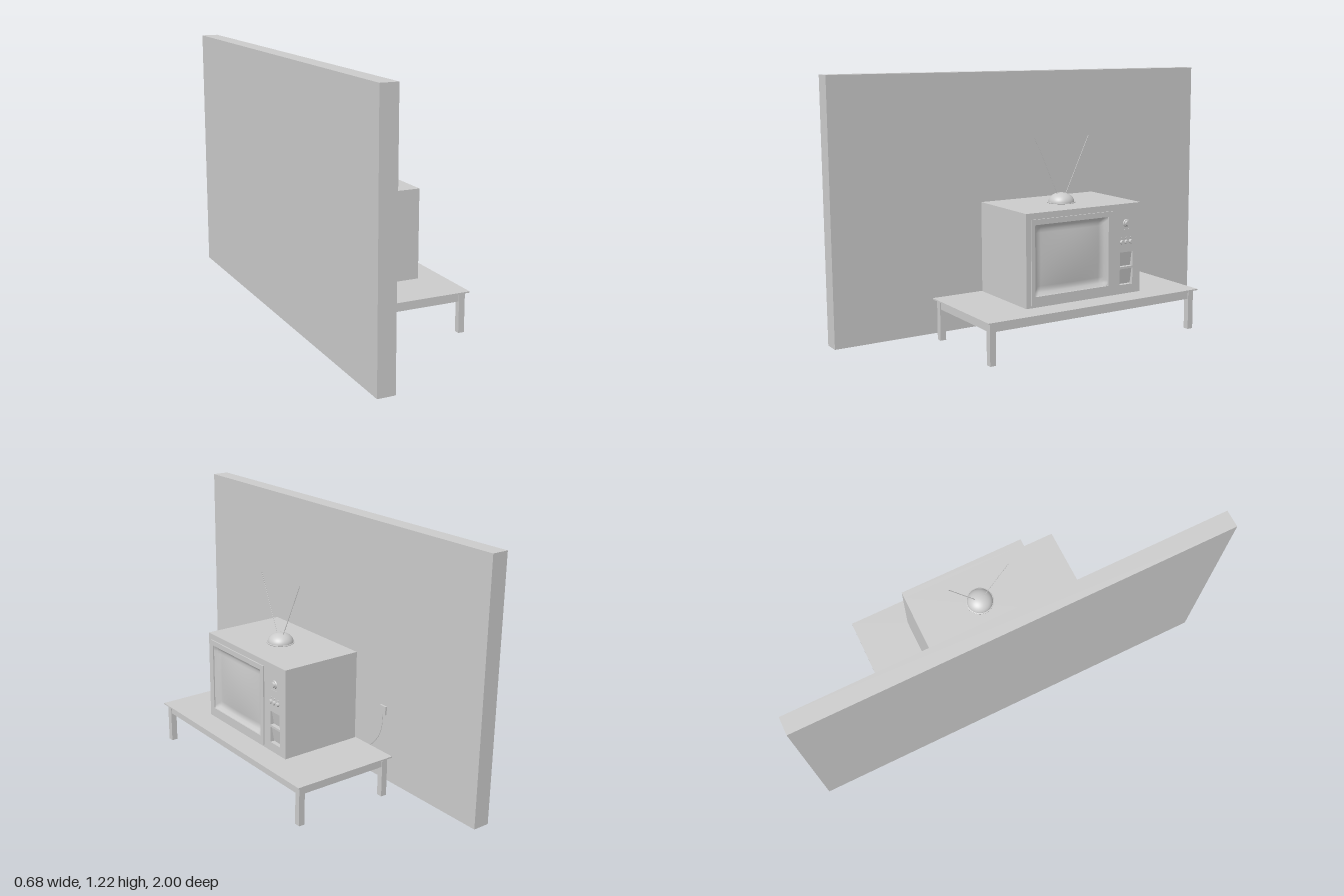
import * as THREE from 'three';

const grey = new THREE.MeshStandardMaterial({ color: 0xcccccc, side: THREE.DoubleSide });

export function createModel() {
  const root = new THREE.Group();

  function add(name, geometry, parent = root) {
    const mesh = new THREE.Mesh(geometry, grey);
    mesh.name = name;
    parent.add(mesh);
    return mesh;
  }
  function group(name) {
    const g = new THREE.Group();
    g.name = name;
    root.add(g);
    return g;
  }
  // Box given by its limits on each axis
  function box(name, x0, x1, y0, y1, z0, z1, parent) {
    const m = add(name, new THREE.BoxGeometry(x1 - x0, y1 - y0, z1 - z0), parent);
    m.position.set((x0 + x1) / 2, (y0 + y1) / 2, (z0 + z1) / 2);
    return m;
  }
  // Rectangle path in the panel plane, where u = -z and v = y
  function rect(path, z0, z1, y0, y1) {
    path.moveTo(-z1, y0);
    path.lineTo(-z0, y0);
    path.lineTo(-z0, y1);
    path.lineTo(-z1, y1);
    path.closePath();
    return path;
  }
  // Panel facing +x, with rectangular holes
  function panel(name, x0, x1, outer, holes, parent) {
    const shape = rect(new THREE.Shape(), ...outer);
    holes.forEach(h => shape.holes.push(rect(new THREE.Path(), ...h)));
    const geo = new THREE.ExtrudeGeometry(shape, { depth: x1 - x0, bevelEnabled: false });
    geo.rotateY(Math.PI / 2).translate(x0, 0, 0);
    return add(name, geo, parent);
  }
  // Disc or knob whose axis is x
  function knob(name, x0, x1, y, z, r, parent) {
    const m = add(name, new THREE.CylinderGeometry(r * 0.85, r, x1 - x0, 24), parent);
    m.rotation.z = -Math.PI / 2;
    m.position.set((x0 + x1) / 2, y, z);
  }
  // Thin round rod between two points
  function rod(name, a, b, r, parent) {
    const path = new THREE.LineCurve3(new THREE.Vector3(...a), new THREE.Vector3(...b));
    add(name, new THREE.TubeGeometry(path, 1, r, 8), parent);
  }

  // Wall
  box('wall', -0.342, -0.262, 0.02, 1.22, -1, 1);

  // Table
  const table = group('table');
  box('tableTop', -0.18, 0.336, 0.205, 0.211, -0.56, 0.56, table);
  for (const s of [-1, 1]) {
    const z0 = s > 0 ? 0.518 : -0.546, z1 = z0 + 0.028;
    box('backLeg', -0.165, -0.136, 0.02, 0.205, z0, z1, table);
    box('frontLeg', 0.292, 0.321, 0.02, 0.205, z0, z1, table);
    box('endApron', -0.136, 0.292, 0.165, 0.205, s * 0.532 - 0.01, s * 0.532 + 0.01, table);
  }
  box('backApron', -0.161, -0.141, 0.165, 0.205, -0.518, 0.518, table);
  box('frontApron', 0.297, 0.317, 0.165, 0.205, -0.518, 0.518, table);

  // Television cabinet: solid body and a front slab with a screen opening
  const tv = group('television');
  const screenHole = [-0.125, 0.265, 0.26, 0.578];
  const vents = [[-0.265, -0.193, 0.337, 0.405], [-0.265, -0.193, 0.253, 0.327]];
  box('cabinet', -0.175, 0.19, 0.211, 0.63, -0.307, 0.307, tv);
  box('backPanel', -0.18, -0.175, 0.222, 0.62, -0.297, 0.297, tv);
  panel('cabinetFront', 0.19, 0.22, [-0.307, 0.307, 0.211, 0.63], [screenHole, ...vents], tv);
  panel('screenFrame', 0.22, 0.226, [-0.148, 0.283, 0.222, 0.602], [screenHole], tv);

  // Sloping surround and bulging picture tube
  const zc = 0.07, yc = 0.419;
  const tube = new THREE.PlaneGeometry(0.39, 0.318, 28, 24);
  const p = tube.attributes.position;
  for (let i = 0; i < p.count; i++) {
    const u = p.getX(i) / 0.195, v = p.getY(i) / 0.159;
    const edge = Math.max(Math.abs(u), Math.abs(v));
    const bulge = 0.014 * (1 - u * u) * (1 - v * v);
    const slope = 0.02 * Math.max(0, (edge - 0.88) / 0.12);
    p.setZ(i, 0.2 + bulge + slope);
  }
  tube.computeVertexNormals();
  tube.rotateY(Math.PI / 2).translate(0, yc, zc);
  add('screen', tube, tv);

  // Controls and speaker recesses
  knob('channelDial', 0.22, 0.224, 0.54, -0.228, 0.019, tv);
  knob('channelKnob', 0.224, 0.233, 0.54, -0.228, 0.013, tv);
  box('dialMarker', 0.22, 0.222, 0.508, 0.512, -0.25, -0.206, tv);
  for (const z of [-0.202, -0.227, -0.252]) {
    knob('controlKnob', 0.22, 0.231, 0.453, z, 0.01, tv);
    knob('indicator', 0.22, 0.222, 0.472, z, 0.004, tv);
  }
  for (const [z0, z1, y0, y1] of vents) {
    const slope = box('speakerRecess', 0.192, 0.196, y0, y1, z0, z1, tv);
    slope.rotation.z = -0.18;
    slope.position.x = 0.204;
  }

  // Aerial with dome base
  const aerial = group('aerial');
  const profile = [[0, 0], [0.065, 0], [0.065, 0.003], [0.06, 0.003]].map(q => new THREE.Vector2(...q));
  add('aerialFoot', new THREE.LatheGeometry(profile, 40), aerial).position.set(0.025, 0.63, 0);
  const dome = add('aerialDome', new THREE.SphereGeometry(0.06, 40, 14, 0, Math.PI * 2, 0, Math.PI / 2), aerial);
  dome.scale.y = 0.72;
  dome.position.set(0.025, 0.632, 0);
  rod('leftRod', [0.028, 0.65, 0.014], [0.028, 0.93, 0.142], 0.0015, aerial);
  rod('rightRod', [0.028, 0.65, -0.014], [0.028, 0.93, -0.147], 0.0015, aerial);

  // Wall plug and hanging cord
  box('wallSocket', -0.262, -0.253, 0.342, 0.382, -0.423, -0.384);
  const points = [[-0.257, 0.345, -0.403], [-0.257, 0.275, -0.397]];
  for (let i = 0; i <= 10; i++) {
    const t = i / 10, z = -0.38 + 0.65 * t;
    points.push([-0.254 + 0.083 * t, 0.0015 + 2.03 * (z + 0.05) ** 2, z]);
  }
  const path = new THREE.CatmullRomCurve3(points.map(q => new THREE.Vector3(...q)));
  add('powerCord', new THREE.TubeGeometry(path, 80, 0.0015, 6));

  return root;
}
